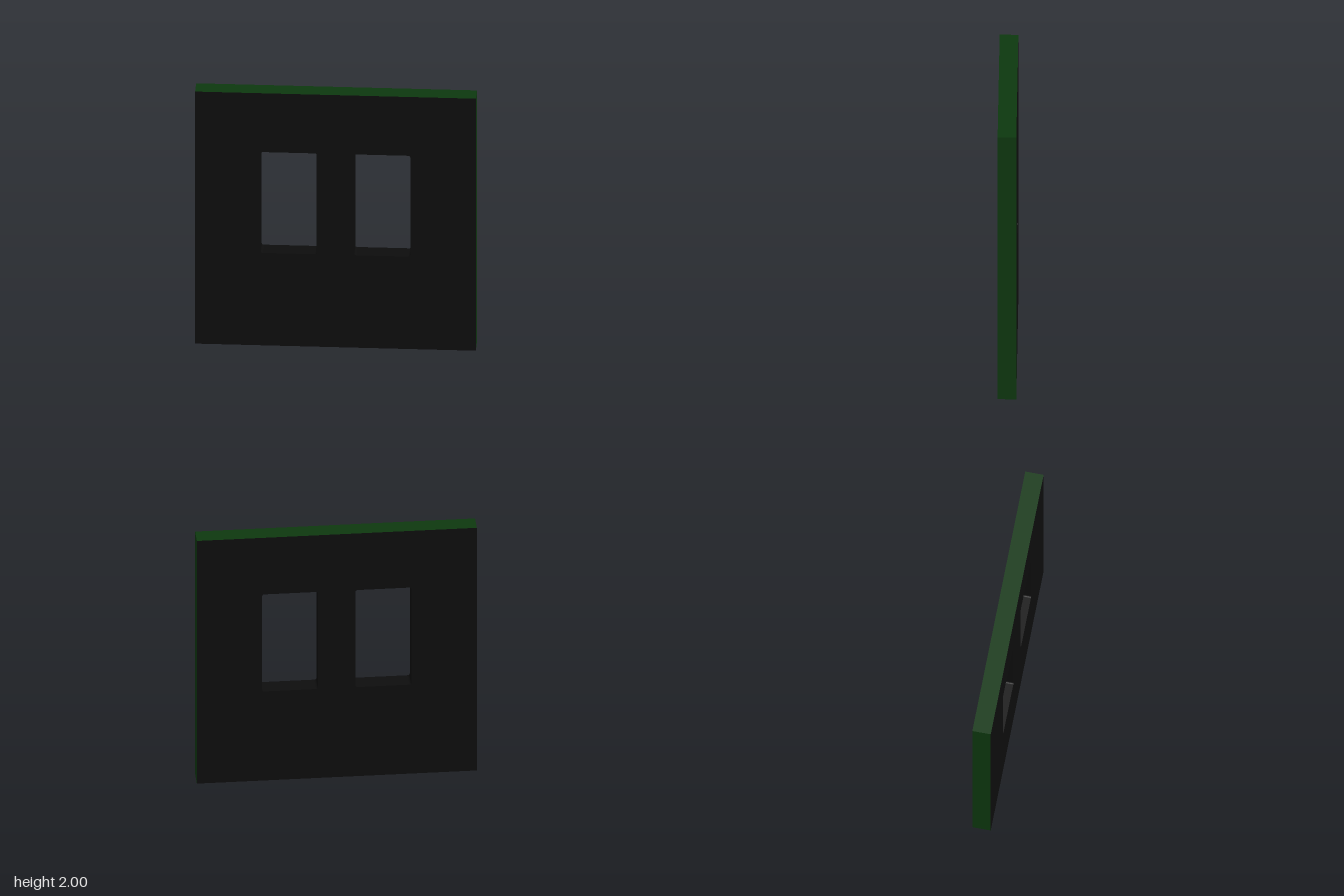
import * as THREE from 'three';

const UNIT = 2 / 15; // wall thickness; the layout follows this module
const RADIUS = 0.015; // window corner rounding

// Rounded rectangular opening with its lower left corner at x, y
function windowHole(x, y, w, h) {
  const r = RADIUS;
  const hole = new THREE.Path();
  hole.absarc(x + w - r, y + r, r, -Math.PI / 2, 0);
  hole.absarc(x + w - r, y + h - r, r, 0, Math.PI / 2);
  hole.absarc(x + r, y + h - r, r, Math.PI / 2, Math.PI);
  hole.absarc(x + r, y + r, r, Math.PI, Math.PI * 1.5);
  hole.closePath();
  return hole;
}

export function createModel() {
  const group = new THREE.Group();
  group.name = 'windowWall';

  const black = new THREE.MeshStandardMaterial({ color: 0x0d0d0d });
  const green = new THREE.MeshStandardMaterial({ color: 0x0d380f });

  // Square panel with two tall windows mirrored about the centre
  const outline = new THREE.Shape([
    new THREE.Vector2(-1, 0),
    new THREE.Vector2(1, 0),
    new THREE.Vector2(1, 2),
    new THREE.Vector2(-1, 2),
  ]);
  for (const left of [-4, 1]) {
    outline.holes.push(windowHole(left * UNIT, 5.5 * UNIT, 3 * UNIT, 6 * UNIT));
  }
  const geometry = new THREE.ExtrudeGeometry(outline, {
    depth: UNIT,
    bevelEnabled: false,
    curveSegments: 4,
  });
  geometry.translate(0, 0, -UNIT / 2);

  // Faces and window reveals are black, the four outer edges green
  const [caps, sides] = geometry.groups;
  const rimCount = 4 * 6;
  geometry.clearGroups();
  geometry.addGroup(caps.start, caps.count, 0);
  geometry.addGroup(sides.start, rimCount, 1);
  geometry.addGroup(sides.start + rimCount, sides.count - rimCount, 0);

  const panel = new THREE.Mesh(geometry, [black, green]);
  panel.name = 'wallPanel';
  group.add(panel);
  return group;
}
